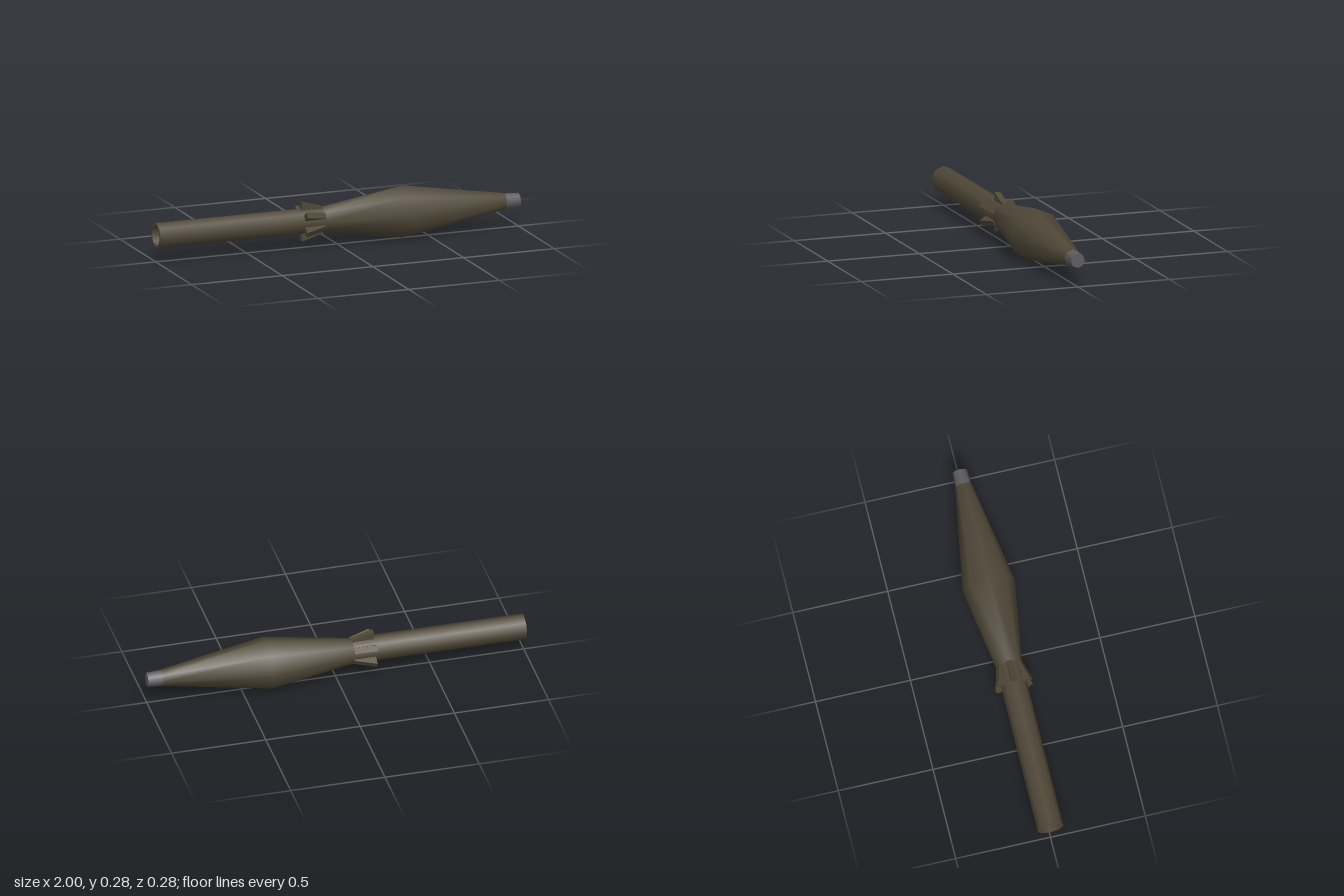
import * as THREE from 'three';

const AXIS_Y = 0.138;
const SIDES = 8;

// Surface of revolution around the x axis from [x, radius] pairs
function turned(profile) {
  const g = new THREE.LatheGeometry(profile.map(([x, r]) => new THREE.Vector2(r, x)), SIDES);
  return g.rotateZ(-Math.PI / 2);
}

export function createModel() {
  const olive = new THREE.MeshStandardMaterial({ color: 0x4f4737 });
  olive.name = 'olive';
  const steel = new THREE.MeshStandardMaterial({ color: 0x5c5c5e });
  steel.name = 'steel';

  const model = new THREE.Group();
  model.name = 'model';
  const axis = new THREE.Group();
  axis.name = 'body';
  axis.position.y = AXIS_Y;
  model.add(axis);

  const add = (name, geometry, material, parent = axis) => {
    const mesh = new THREE.Mesh(geometry, material);
    mesh.name = name;
    parent.add(mesh);
    return mesh;
  };

  // Rear tube with a shallow recess in its open end
  add('tube', turned([[-1, 0.068], [-0.08, 0.068]]), olive);
  add('tubeRim', turned([[-1, 0.055], [-1, 0.068]]), olive);
  add('recessWall', turned([[-0.93, 0.055], [-1, 0.055]]), olive);
  add('recessFloor', turned([[-0.93, 0], [-0.93, 0.055]]), olive);

  // Double-tapered main shell
  add('shell', turned([[-0.1, 0.066], [0.36, 0.138], [0.92, 0.044]]), olive);
  add('shellFrontRim', turned([[0.92, 0.044], [0.92, 0.036]]), olive);

  // Nose cap
  add('noseCap', turned([[0.92, 0.042], [1, 0.038]]), steel);
  add('noseFace', turned([[1, 0.038], [1, 0]]), steel);

  // Six wedge fins flaring towards the rear
  const wedge = new THREE.Shape([
    new THREE.Vector2(-0.2, 0.05),
    new THREE.Vector2(-0.085, 0.05),
    new THREE.Vector2(-0.085, 0.069),
    new THREE.Vector2(-0.2, 0.104),
  ]);
  const finGeometry = new THREE.ExtrudeGeometry(wedge, { depth: 0.032, bevelEnabled: false });
  finGeometry.translate(0, 0, -0.016);
  const fins = new THREE.Group();
  fins.name = 'fins';
  axis.add(fins);
  for (let i = 0; i < 6; i++) {
    add('fin', finGeometry, olive, fins).rotation.x = (i * Math.PI) / 3;
  }

  return model;
}
